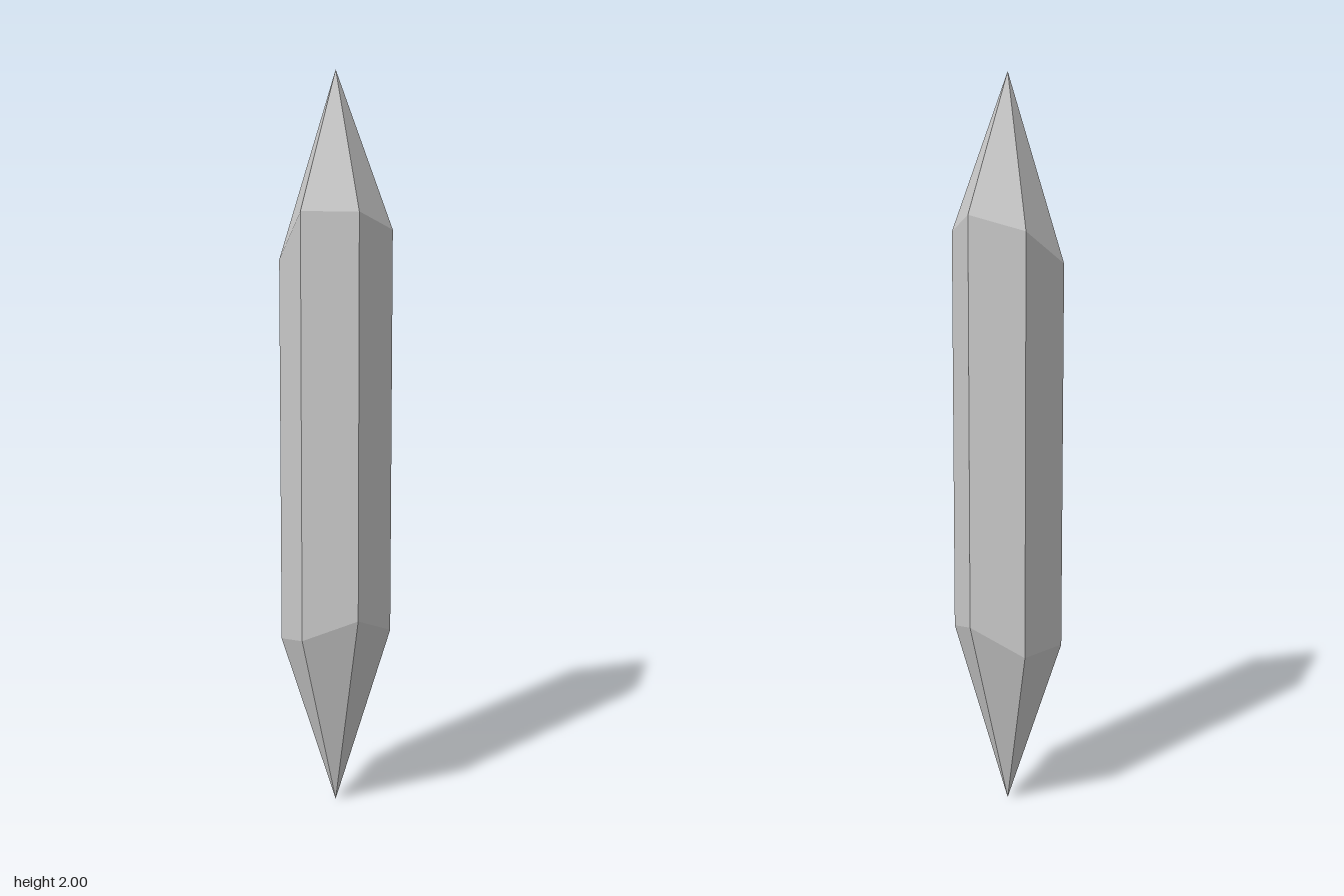
import * as THREE from 'three';

const RADIUS = 0.151;
// Uneven shoulder heights around the six edges, from +x towards +z
const UPPER = [1.64, 1.64, 1.51, 1.6, 1.64, 1.59];
const LOWER = [0.56, 0.5, 0.465, 0.465, 0.54, 0.5];

function ring(heights) {
  return heights.map((y, i) => {
    const a = Math.PI / 6 + (i * Math.PI) / 3;
    return new THREE.Vector3(RADIUS * Math.cos(a), y, RADIUS * Math.sin(a));
  });
}

export function createModel() {
  const group = new THREE.Group();
  group.name = 'crystal';
  const material = new THREE.MeshStandardMaterial({ color: 0xcccccc, flatShading: true });
  const top = ring(UPPER);
  const bottom = ring(LOWER);
  const topTip = new THREE.Vector3(0, 2, 0);
  const bottomTip = new THREE.Vector3(0, 0, 0);

  // Builds one part from the triangles of each of its six facets
  const addPart = (name, facet) => {
    const points = [];
    for (let i = 0; i < 6; i++) points.push(...facet(i, (i + 1) % 6));
    const geometry = new THREE.BufferGeometry().setFromPoints(points);
    geometry.computeVertexNormals();
    const mesh = new THREE.Mesh(geometry, material);
    mesh.name = name;
    group.add(mesh);
  };

  // Hexagonal prism between the two slanted shoulders
  addPart('shaft', (i, j) => [bottom[j], bottom[i], top[i], bottom[j], top[i], top[j]]);
  // Six-sided points at both ends
  addPart('upperPoint', (i, j) => [top[j], top[i], topTip]);
  addPart('lowerPoint', (i, j) => [bottom[i], bottom[j], bottomTip]);

  return group;
}
